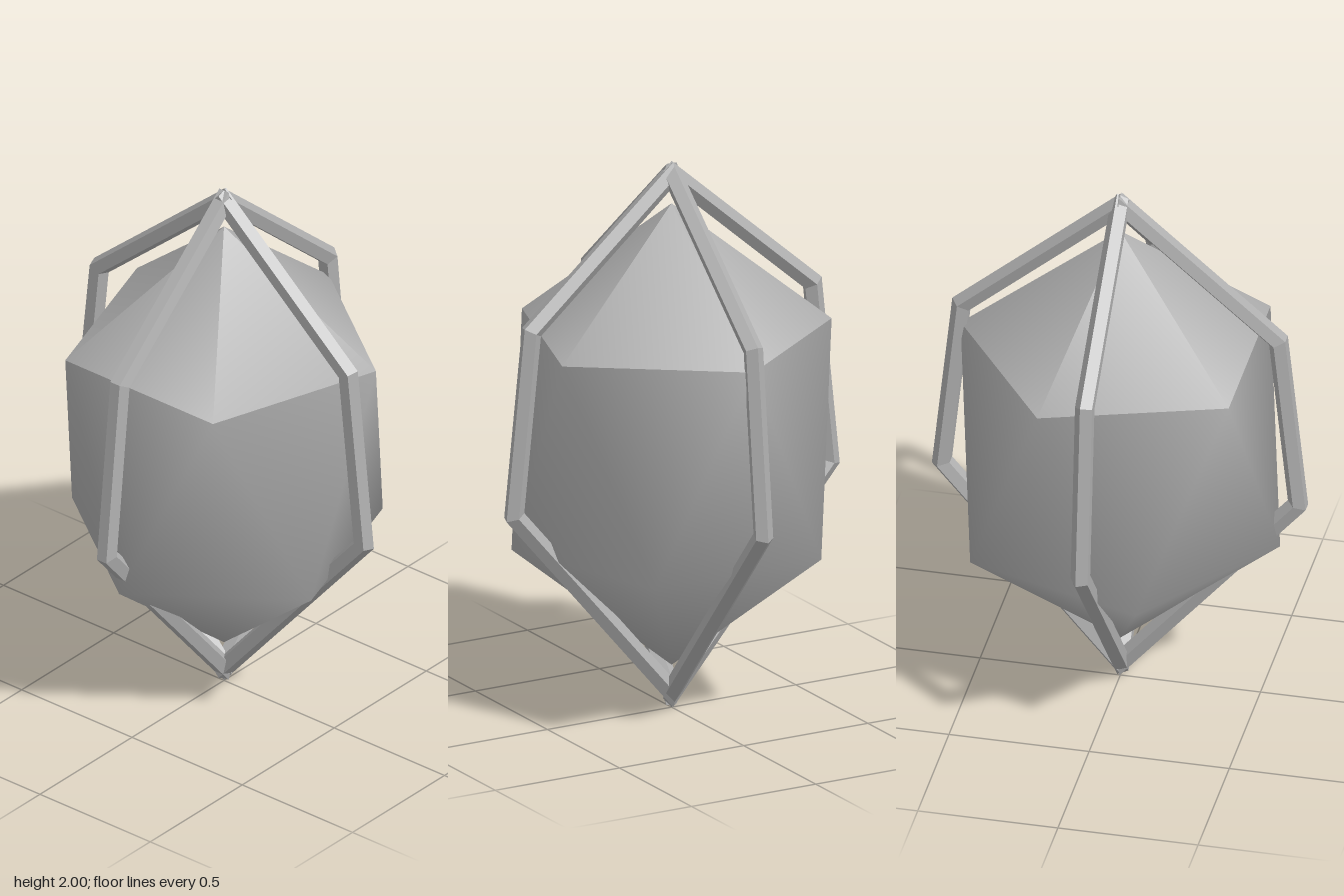
import * as THREE from 'three';

const SIDES = 5;
const angle = (i) => (i / SIDES) * Math.PI * 2;

function makeGeometry(points, index, faceted) {
  let g = new THREE.BufferGeometry().setFromPoints(points);
  g.setIndex(index);
  if (faceted) g = g.toNonIndexed();
  g.computeVertexNormals();
  return g;
}

const CORE_R = 0.57;
const coreRing = (y, turn) => Array.from({ length: SIDES }, (_, i) =>
  new THREE.Vector3(CORE_R * Math.cos(angle(i + turn)), y, CORE_R * Math.sin(angle(i + turn))));
const tips = (y) => Array.from({ length: SIDES }, () => new THREE.Vector3(0, y, 0));

// Pointed crown: one tip vertex per facet, soft towards the rim
function crownGeometry() {
  const index = [];
  for (let i = 0; i < SIDES; i++) index.push(SIDES + i, (i + 1) % SIDES, i);
  return makeGeometry([...coreRing(1.385, 0), ...tips(1.845)], index, false);
}

// Twisted body running down to the lower tip
function bodyGeometry() {
  const index = [];
  for (let i = 0; i < SIDES; i++) {
    const j = (i + 1) % SIDES;
    const l = SIDES + i, m = SIDES + j;
    index.push(i, j, l, j, m, l, l, m, 2 * SIDES + i);
  }
  return makeGeometry([...coreRing(1.385, 0), ...coreRing(0.615, 0.5), ...tips(0.155)], index, false);
}

// Five-sided bar swept down one quarter of the cage, with mitred bends
const BAR_R = 0.036;
const PATH = [[0, 1.953], [0.565, 1.465], [0.635, 0.8], [0, 0.055]]
  .map(([r, y]) => new THREE.Vector2(r, y));

function barGeometry(dx, dz) {
  const points = [], index = [];
  const normals = PATH.slice(1).map((p, k) => {
    const t = p.clone().sub(PATH[k]).normalize();
    return new THREE.Vector2(-t.y, t.x);
  });
  PATH.forEach((p, k) => {
    const n = normals[Math.max(k - 1, 0)];
    let mitre;
    if (k === 0) mitre = new THREE.Vector2(0, 1);
    else if (k === PATH.length - 1) mitre = new THREE.Vector2(0, -1);
    else mitre = n.clone().add(normals[k]).normalize();
    mitre.divideScalar(mitre.dot(n));
    for (let i = 0; i < SIDES; i++) {
      const x = BAR_R * Math.cos(angle(i)), z = BAR_R * Math.sin(angle(i));
      const out = x * dx + z * dz;
      const side = x * dz - z * dx;
      const r = p.x + mitre.x * out;
      points.push(new THREE.Vector3(r * dx + side * dz, p.y + mitre.y * out, r * dz - side * dx));
    }
  });
  const last = (PATH.length - 1) * SIDES;
  for (let k = 0; k < last; k += SIDES) {
    for (let i = 0; i < SIDES; i++) {
      const a = k + i, b = k + (i + 1) % SIDES;
      index.push(a, b, a + SIDES, b, b + SIDES, a + SIDES);
    }
  }
  // End caps
  for (let i = 1; i < SIDES - 1; i++) {
    index.push(0, i + 1, i, last, last + i, last + i + 1);
  }
  return makeGeometry(points, index, true);
}

export function createModel() {
  const model = new THREE.Group();
  model.name = 'cagedCrystal';
  const grey = new THREE.MeshStandardMaterial({ color: 0xb0b0b0 });
  grey.name = 'stone grey';
  const add = (parent, name, geometry) => {
    const mesh = new THREE.Mesh(geometry, grey);
    mesh.name = name;
    parent.add(mesh);
  };

  const crystal = new THREE.Group();
  crystal.name = 'crystal';
  add(crystal, 'crystalCrown', crownGeometry());
  add(crystal, 'crystalBody', bodyGeometry());

  const cage = new THREE.Group();
  cage.name = 'cage';
  const bars = [['leftBar', 1, 0], ['rightBar', -1, 0], ['frontBar', 0, 1], ['backBar', 0, -1]];
  for (const [name, dx, dz] of bars) add(cage, name, barGeometry(dx, dz));

  model.add(crystal, cage);
  return model;
}
